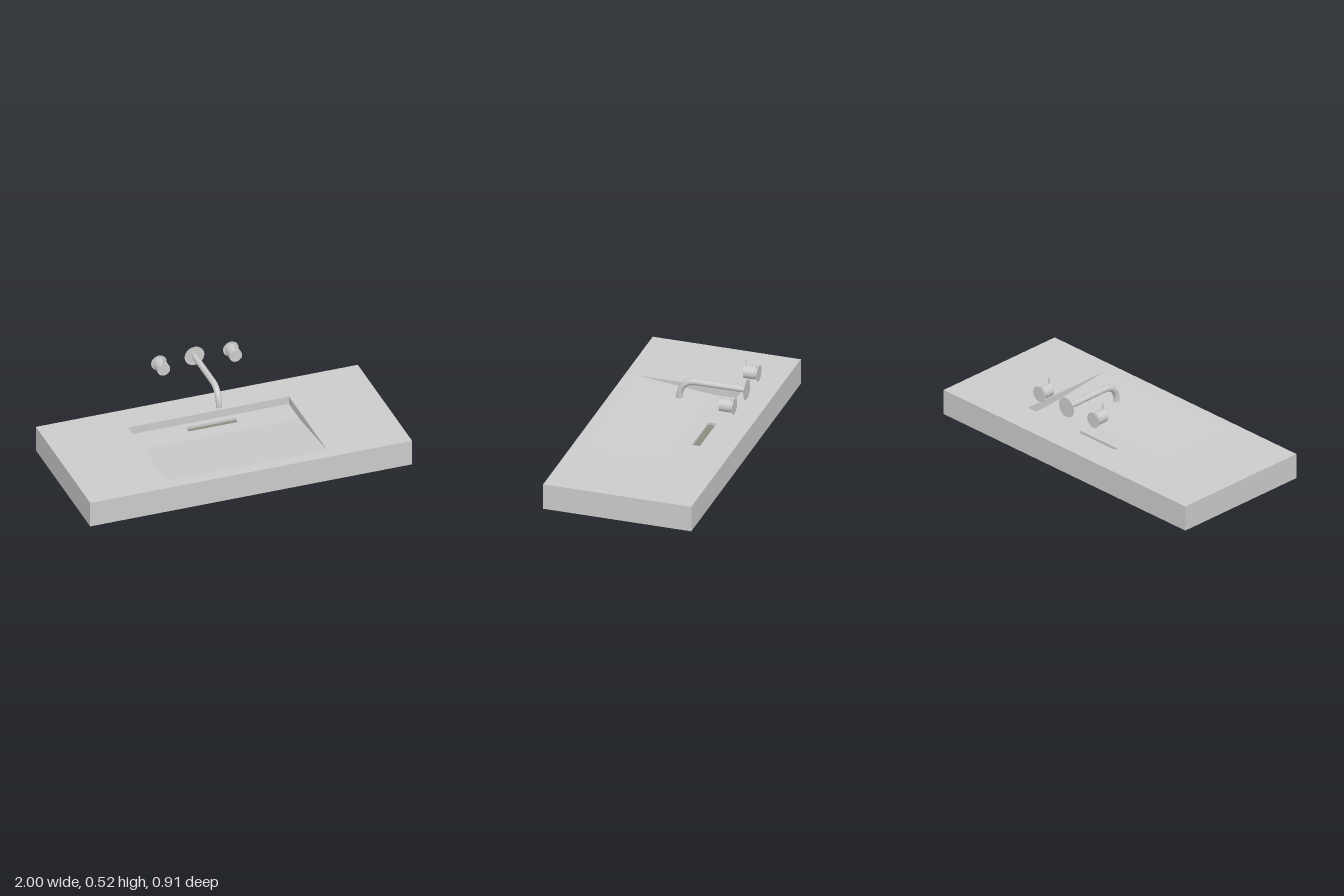
import * as THREE from 'three';

const grey = new THREE.MeshStandardMaterial({ color: 0xcccccc, side: THREE.DoubleSide });
const drainGrey = new THREE.MeshStandardMaterial({ color: 0x8b8b7e, side: THREE.DoubleSide });

// Main levels and outlines; rectangles are [x0, x1, z0, z1]
const TOP = 0.16, FLOOR = 0.11, DRAIN = 0.095;
const SLAB = [-1, 1, -0.455, 0.455];
const BASIN = [-0.5, 0.5, -0.26, 0.38];
const FLAT = [-0.5, 0.5, -0.26, -0.08];
const SLOT = [-0.155, 0.15, -0.222, -0.174];
const WALL_Z = -0.455, TAP_Y = 0.436;

function add(parent, name, geometry, material = grey) {
  const mesh = new THREE.Mesh(geometry, material);
  mesh.name = name;
  parent.add(mesh);
  return mesh;
}

// Flat polygon from corners given counter-clockwise as seen from its front
function polygon(...corners) {
  const g = new THREE.BufferGeometry();
  g.setAttribute('position', new THREE.Float32BufferAttribute(corners.flat(), 3));
  g.setIndex(corners.length === 3 ? [0, 1, 2] : [0, 1, 2, 0, 2, 3]);
  g.computeVertexNormals();
  return g;
}

const outline = ([x0, x1, z0, z1]) => [[x0, z1], [x1, z1], [x1, z0], [x0, z0]];

// Horizontal upward-facing sheet with an optional rectangular hole
function sheet(rect, y, hole) {
  const points = (r) => outline(r).map(([x, z]) => new THREE.Vector2(x, -z));
  const shape = new THREE.Shape(points(rect));
  if (hole) shape.holes.push(new THREE.Path(points(hole)));
  return new THREE.ShapeGeometry(shape).rotateX(-Math.PI / 2).translate(0, y, 0);
}

// Four vertical walls round a rectangle, facing out or in
function addWalls(parent, name, rect, y0, y1, inward) {
  const c = outline(rect);
  c.forEach((p, i) => {
    let a = p, b = c[(i + 1) % 4];
    if (inward) [a, b] = [b, a];
    add(parent, name, polygon([a[0], y0, a[1]], [b[0], y0, b[1]], [b[0], y1, b[1]], [a[0], y1, a[1]]));
  });
}

function buildBasin() {
  const basin = new THREE.Group();
  basin.name = 'washbasin';
  add(basin, 'countertop', sheet(SLAB, TOP, BASIN));
  addWalls(basin, 'slabSide', SLAB, 0, TOP, false);
  add(basin, 'underside', sheet(SLAB, 0).rotateX(Math.PI));

  // Level floor at the back, then a ramp rising to the front rim
  const [x0, x1, back, front] = BASIN, bend = FLAT[3];
  add(basin, 'basinFloor', sheet(FLAT, FLOOR, SLOT));
  add(basin, 'basinRamp', polygon([x0, TOP, front], [x1, TOP, front], [x1, FLOOR, bend], [x0, FLOOR, bend]));
  add(basin, 'basinBackWall', polygon([x0, FLOOR, back], [x1, FLOOR, back], [x1, TOP, back], [x0, TOP, back]));
  add(basin, 'basinRightWall', polygon([x0, TOP, front], [x0, FLOOR, bend], [x0, FLOOR, back], [x0, TOP, back]));
  add(basin, 'basinLeftWall', polygon([x1, TOP, back], [x1, FLOOR, back], [x1, FLOOR, bend], [x1, TOP, front]));

  // Sunken drain slot
  addWalls(basin, 'drainSlotWall', SLOT, DRAIN, FLOOR, true);
  add(basin, 'drainPlate', sheet(SLOT, DRAIN), drainGrey);
  return basin;
}

// Cylinder along z between two depths
function rod(radius, z0, z1, sides = 40) {
  return new THREE.CylinderGeometry(radius, radius, z1 - z0, sides)
    .rotateX(Math.PI / 2).translate(0, 0, (z0 + z1) / 2);
}

function buildSpout() {
  const spout = new THREE.Group();
  spout.name = 'spout';
  spout.position.set(-0.015, TAP_Y, 0);
  add(spout, 'spoutFlange', rod(0.061, WALL_Z, WALL_Z + 0.002));
  add(spout, 'spoutCollar', rod(0.033, WALL_Z, WALL_Z + 0.007));

  // Straight pipe, quarter bend and short drop
  const r = 0.097, endZ = -0.043, tip = 0.322 - TAP_Y;
  const path = [new THREE.Vector3(0, 0, WALL_Z)];
  for (let i = 0; i <= 16; i++) {
    const a = (i / 16) * Math.PI / 2;
    path.push(new THREE.Vector3(0, -r + r * Math.cos(a), endZ - r + r * Math.sin(a)));
  }
  path.push(new THREE.Vector3(0, tip, endZ));
  const curve = new THREE.CurvePath();
  for (let i = 1; i < path.length; i++) curve.add(new THREE.LineCurve3(path[i - 1], path[i]));
  add(spout, 'spoutPipe', new THREE.TubeGeometry(curve, 120, 0.0185, 28));

  // Outlet rim with a recessed aerator
  add(spout, 'outletRim', new THREE.RingGeometry(0.015, 0.0185, 28).rotateX(Math.PI / 2).translate(0, tip, endZ));
  add(spout, 'outletBore', new THREE.CylinderGeometry(0.015, 0.015, 0.008, 28, 1, true).translate(0, tip + 0.004, endZ));
  add(spout, 'aerator', new THREE.CircleGeometry(0.015, 28).rotateX(Math.PI / 2).translate(0, tip + 0.008, endZ));
  return spout;
}

function buildHandle(x, name) {
  const handle = new THREE.Group();
  handle.name = name;
  handle.position.set(x, TAP_Y, 0);
  add(handle, 'handleFlange', rod(0.048, WALL_Z, WALL_Z + 0.002));
  add(handle, 'handleBase', rod(0.034, WALL_Z, -0.437));
  add(handle, 'handleKnob', rod(0.039, -0.437, -0.369));
  add(handle, 'handleLever', new THREE.CylinderGeometry(0.004, 0.004, 0.05, 16).translate(0, 0.056, -0.375));
  return handle;
}

export function createModel() {
  const model = new THREE.Group();
  model.name = 'washbasinWithWallTaps';
  model.add(buildBasin(), buildSpout(), buildHandle(-0.236, 'rightHandle'), buildHandle(0.211, 'leftHandle'));
  return model;
}
